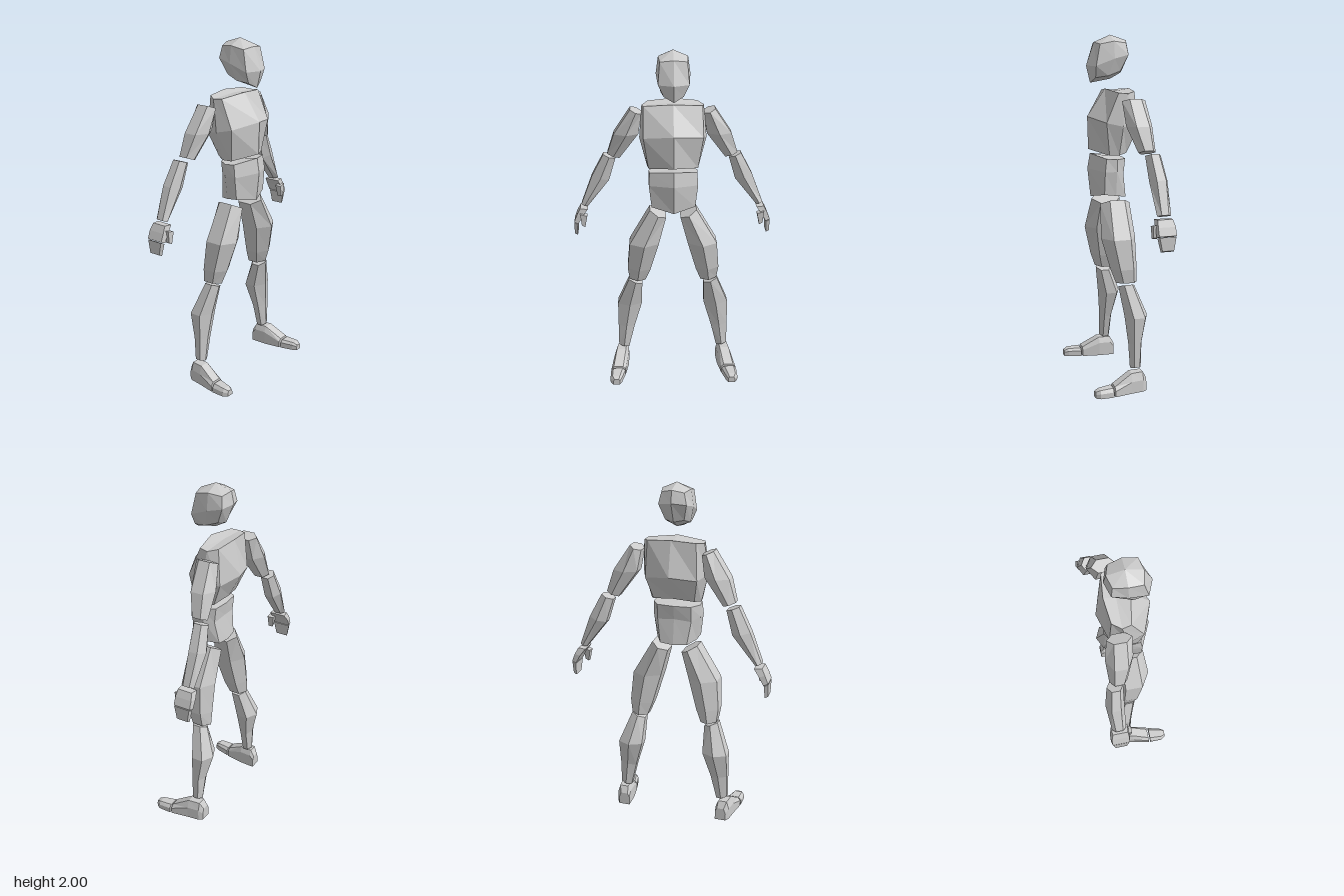
import * as THREE from 'three';

const grey = new THREE.MeshStandardMaterial({ color: 0xcccccc });
grey.name = 'mannequin grey';

// Faceted solid through a stack of equal-length rings, closed by fans at both ends
function loft(name, rings, topApex, bottomApex) {
  const n = rings[0].length;
  const centre = r => [0, 1, 2].map(k => r.reduce((s, p) => s + p[k], 0) / n);
  const tris = [];
  for (let i = 0; i < rings.length - 1; i++) {
    for (let j = 0; j < n; j++) {
      const k = (j + 1) % n;
      const a = rings[i][j], b = rings[i][k], c = rings[i + 1][k], d = rings[i + 1][j];
      tris.push([a, d, c], [a, c, b]);
    }
  }
  const first = rings[0], last = rings[rings.length - 1];
  const top = topApex || centre(first), bottom = bottomApex || centre(last);
  for (let j = 0; j < n; j++) {
    const k = (j + 1) % n;
    tris.push([top, first[j], first[k]], [bottom, last[k], last[j]]);
  }
  // Turn the faces outward whichever way the rings run
  const c = new THREE.Vector3(...centre(first)).add(new THREE.Vector3(...centre(last))).multiplyScalar(0.5);
  let volume = 0;
  for (const t of tris) {
    const [p, q, r] = t.map(v => new THREE.Vector3(...v).sub(c));
    volume += p.dot(q.cross(r));
  }
  if (volume < 0) tris.forEach(t => t.reverse());
  const g = new THREE.BufferGeometry();
  g.setAttribute('position', new THREE.Float32BufferAttribute(tris.flat(2), 3));
  g.computeVertexNormals();
  const mesh = new THREE.Mesh(g, grey);
  mesh.name = name;
  return mesh;
}

// Half ring from front centre to back centre, completed by mirroring
const symmetric = half => [...half, ...half.slice(1, -1).reverse().map(([x, y, z]) => [-x, y, z])];

// Limb cross-sections: [outer x, outer y, inner x, inner y, front z, back z]
const ROUND = [[0.5, 1], [1, 0.75], [1, 0.25], [0.5, 0], [0, 0.25], [0, 0.75]];
const BOX = [[0, 1], [1, 0.95], [1, 0.05], [0, 0]];
const limbRings = (sections, shape) => sections.map(([ox, oy, ix, iy, zf, zb]) =>
  shape.map(([t, s]) => [ix + (ox - ix) * t, iy + (oy - iy) * t, zb + (zf - zb) * s]));

// Foot cross-sections: [z, inner x, outer x, top y]
const footRings = sections => sections.map(([z, a, b, h]) => {
  const inset = (b - a) * 0.18;
  return [[a, 0, z], [b, 0, z], [b, h * 0.6, z], [b - inset, h, z], [a + inset, h, z], [a, h * 0.7, z]];
});

const mirrorRings = rings => rings.map(r => r.map(([x, y, z]) => [-x, y, z]));

export function createModel() {
  const model = new THREE.Group();
  model.name = 'mannequin';

  // Head, tilted slightly forward
  model.add(loft('head', [
    [[0, 1.96, 0.095], [0.075, 1.95, 0.08], [0.082, 1.965, 0], [0.065, 1.955, -0.075], [0, 1.97, -0.095]],
    [[0, 1.83, 0.14], [0.085, 1.83, 0.105], [0.095, 1.87, 0], [0.08, 1.89, -0.085], [0, 1.9, -0.11]],
    [[0, 1.735, 0.117], [0.055, 1.765, 0.1], [0.07, 1.775, 0.03], [0.055, 1.8, -0.045], [0, 1.79, -0.065]],
  ].map(symmetric), [0, 2, 0], [0, 1.755, 0]));

  // Chest
  model.add(loft('chest', [
    [[0, 1.7, 0.03], [0.165, 1.685, 0], [0.175, 1.68, -0.05], [0.14, 1.69, -0.1], [0, 1.7, -0.115]],
    [[0, 1.545, 0.135], [0.168, 1.52, 0.07], [0.19, 1.5, -0.02], [0.15, 1.48, -0.115], [0, 1.5, -0.16]],
    [[0, 1.36, 0.13], [0.14, 1.335, 0.045], [0.148, 1.335, -0.01], [0.12, 1.345, -0.06], [0, 1.36, -0.085]],
  ].map(symmetric)));

  // Waist
  model.add(loft('waist', [
    [[0, 1.335, 0.12], [0.135, 1.315, 0.06], [0.14, 1.31, 0], [0.1, 1.31, -0.06], [0, 1.31, -0.07]],
    [[0, 1.25, 0.135], [0.14, 1.24, 0.07], [0.14, 1.24, 0], [0.1, 1.22, -0.05], [0, 1.23, -0.058]],
    [[0, 1.085, 0.117], [0.125, 1.11, 0.07], [0.12, 1.1, 0], [0.08, 1.085, -0.07], [0, 1.08, -0.08]],
  ].map(symmetric)));

  // Paired parts, given for the left side
  const parts = {
    UpperArm: limbRings([
      [0.24, 1.655, 0.175, 1.63, -0.005, -0.14],
      [0.335, 1.51, 0.195, 1.51, -0.01, -0.16],
      [0.375, 1.385, 0.305, 1.358, -0.055, -0.155],
    ], ROUND),
    Forearm: limbRings([
      [0.4, 1.37, 0.33, 1.345, -0.085, -0.175],
      [0.47, 1.235, 0.37, 1.21, -0.09, -0.195],
      [0.537, 1.06, 0.5, 1.045, -0.1, -0.18],
    ], ROUND),
    Palm: limbRings([
      [0.545, 1.038, 0.5, 1.035, -0.09, -0.185],
      [0.565, 1.0, 0.53, 0.995, -0.085, -0.195],
      [0.583, 0.955, 0.558, 0.945, -0.085, -0.195],
    ], BOX),
    Fingers: limbRings([
      [0.583, 0.95, 0.56, 0.94, -0.088, -0.192],
      [0.583, 0.875, 0.565, 0.866, -0.105, -0.178],
    ], BOX),
    Thumb: limbRings([
      [0.545, 1.01, 0.503, 1.0, -0.07, -0.11],
      [0.537, 0.94, 0.517, 0.93, -0.072, -0.1],
    ], BOX),
    Thigh: limbRings([
      [0.135, 1.077, 0.042, 1.03, 0.085, -0.09],
      [0.255, 0.87, 0.085, 0.87, 0.105, -0.097],
      [0.27, 0.7, 0.135, 0.69, 0.06, -0.097],
      [0.26, 0.62, 0.165, 0.61, 0.03, -0.095],
    ], ROUND),
    Shin: limbRings([
      [0.265, 0.612, 0.185, 0.583, 0.02, -0.075],
      [0.335, 0.43, 0.19, 0.43, -0.005, -0.14],
      [0.335, 0.28, 0.237, 0.27, -0.02, -0.1],
      [0.335, 0.14, 0.272, 0.125, -0.025, -0.09],
    ], ROUND),
    Foot: footRings([
      [-0.113, 0.275, 0.34, 0.075],
      [-0.09, 0.275, 0.355, 0.115],
      [-0.02, 0.278, 0.365, 0.115],
      [0.085, 0.295, 0.385, 0.055],
    ]),
    Toes: footRings([
      [0.095, 0.298, 0.387, 0.05],
      [0.172, 0.318, 0.387, 0.046],
      [0.197, 0.33, 0.37, 0.035],
    ]),
  };
  for (const [name, rings] of Object.entries(parts)) {
    model.add(loft('left' + name, rings), loft('right' + name, mirrorRings(rings)));
  }
  return model;
}
